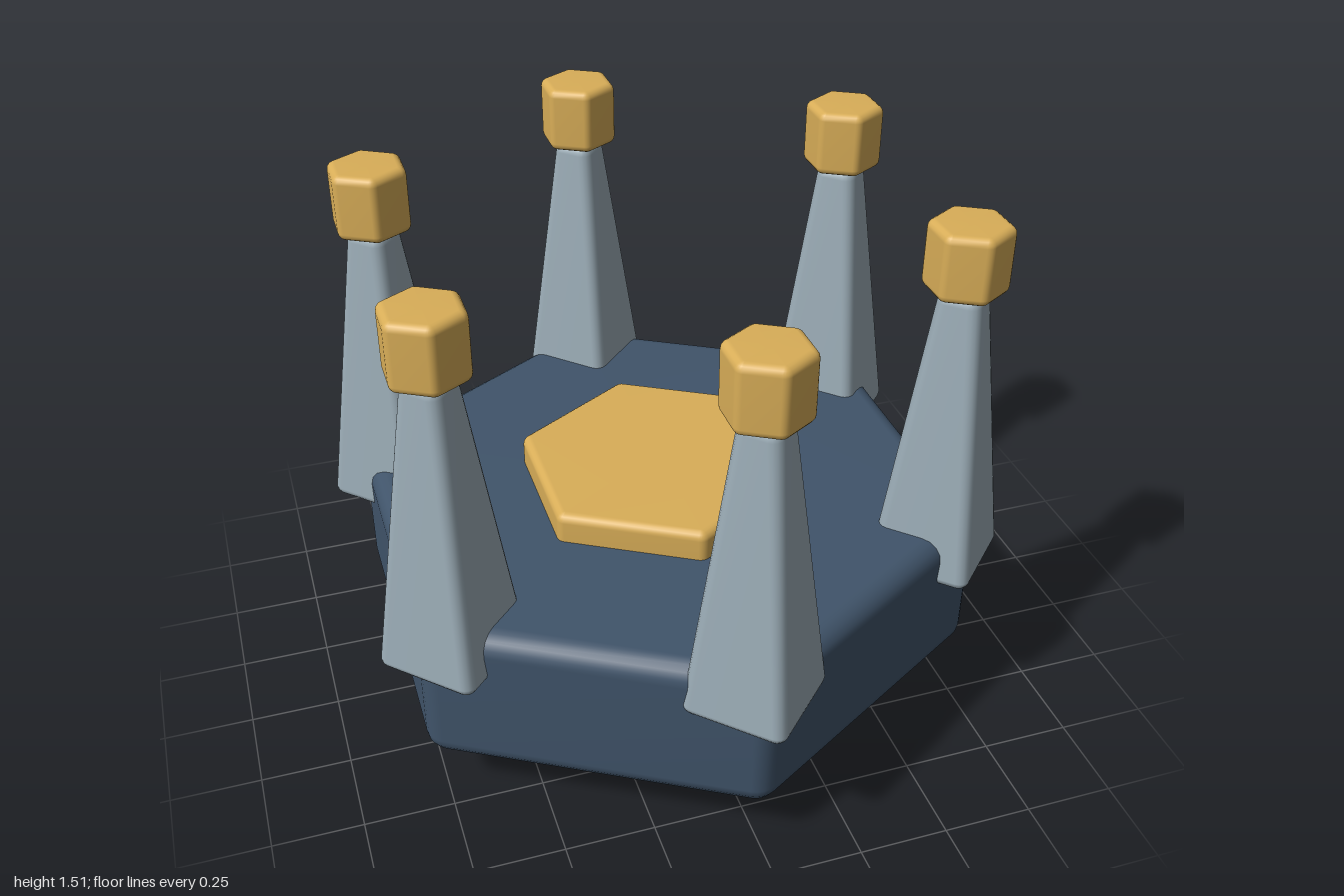
import * as THREE from 'three';

const mat = (color) => new THREE.MeshStandardMaterial({ color });

// Tapered n-sided prism with all edges rounded; a corner points to +z.
// a0 and a1 are the centre-to-flat distances at the bottom and top.
function roundedPrism(n, y0, y1, a0, a1, bevel) {
  const steps = 4, r = bevel * 1.15, half = Math.PI / n;
  const rows = [];
  for (let i = 0; i <= steps; i++) {
    const t = (i / steps) * Math.PI / 2;
    rows.push([y0 + bevel * (1 - Math.sin(t)), a0, bevel * (1 - Math.cos(t))]);
  }
  rows.reverse();
  for (let i = 0; i <= steps; i++) {
    const t = (i / steps) * Math.PI / 2;
    rows.push([y1 - bevel * (1 - Math.sin(t)), a1, bevel * (1 - Math.cos(t))]);
  }
  // order rows from the bottom face up to the top face
  rows.sort((p, q) => p[0] - q[0]);

  const pos = [], index = [], ring = n * (steps + 1);
  for (const [y, a, inset] of rows) {
    const centre = (a - r) / Math.cos(half);
    for (let k = 0; k < n; k++) {
      const corner = Math.PI / 2 + 2 * half * k;
      for (let s = 0; s <= steps; s++) {
        const ang = corner + half * (2 * s / steps - 1);
        pos.push(
          centre * Math.cos(corner) + (r - inset) * Math.cos(ang), y,
          centre * Math.sin(corner) + (r - inset) * Math.sin(ang));
      }
    }
  }
  const top = (rows.length - 1) * ring, bottomMid = pos.length / 3;
  pos.push(0, y0, 0, 0, y1, 0);
  for (let j = 0; j < ring; j++) {
    const k = (j + 1) % ring;
    for (let i = 0; i < rows.length - 1; i++) {
      const a = i * ring + j, b = i * ring + k;
      index.push(a, a + ring, b, b, a + ring, b + ring);
    }
    index.push(bottomMid, j, k, bottomMid + 1, top + k, top + j);
  }
  const geo = new THREE.BufferGeometry();
  geo.setAttribute('position', new THREE.Float32BufferAttribute(pos, 3));
  geo.setIndex(index);
  geo.computeVertexNormals();
  return geo;
}

export function createModel() {
  const model = new THREE.Group();
  const add = (name, geo, material, x = 0, z = 0) => {
    const mesh = new THREE.Mesh(geo, material);
    mesh.name = name;
    mesh.position.set(x, 0, z);
    model.add(mesh);
  };
  const gold = mat(0xd9ae58), stone = mat(0x9aabb5);

  // Stacked hexagonal platform
  add('base', roundedPrism(6, 0, 0.2, 0.63, 0.63, 0.03), mat(0x1a222c));
  add('platform', roundedPrism(6, 0.16, 0.605, 0.795, 0.795, 0.06), mat(0x40546a));
  add('centrePlate', roundedPrism(6, 0.55, 0.692, 0.355, 0.355, 0.025), gold);

  // Six tapered pylons with hexagonal caps, one at each platform corner
  const pylon = roundedPrism(4, 0.465, 1.325, 0.145, 0.06, 0.027);
  const cap = roundedPrism(6, 1.325, 1.515, 0.1, 0.1, 0.022);
  for (let i = 0; i < 6; i++) {
    const a = Math.PI / 2 + i * Math.PI / 3;
    const x = 0.805 * Math.cos(a), z = 0.805 * Math.sin(a);
    add('pylon' + (i + 1), pylon, stone, x, z);
    add('pylonCap' + (i + 1), cap, gold, x, z);
  }
  return model;
}
